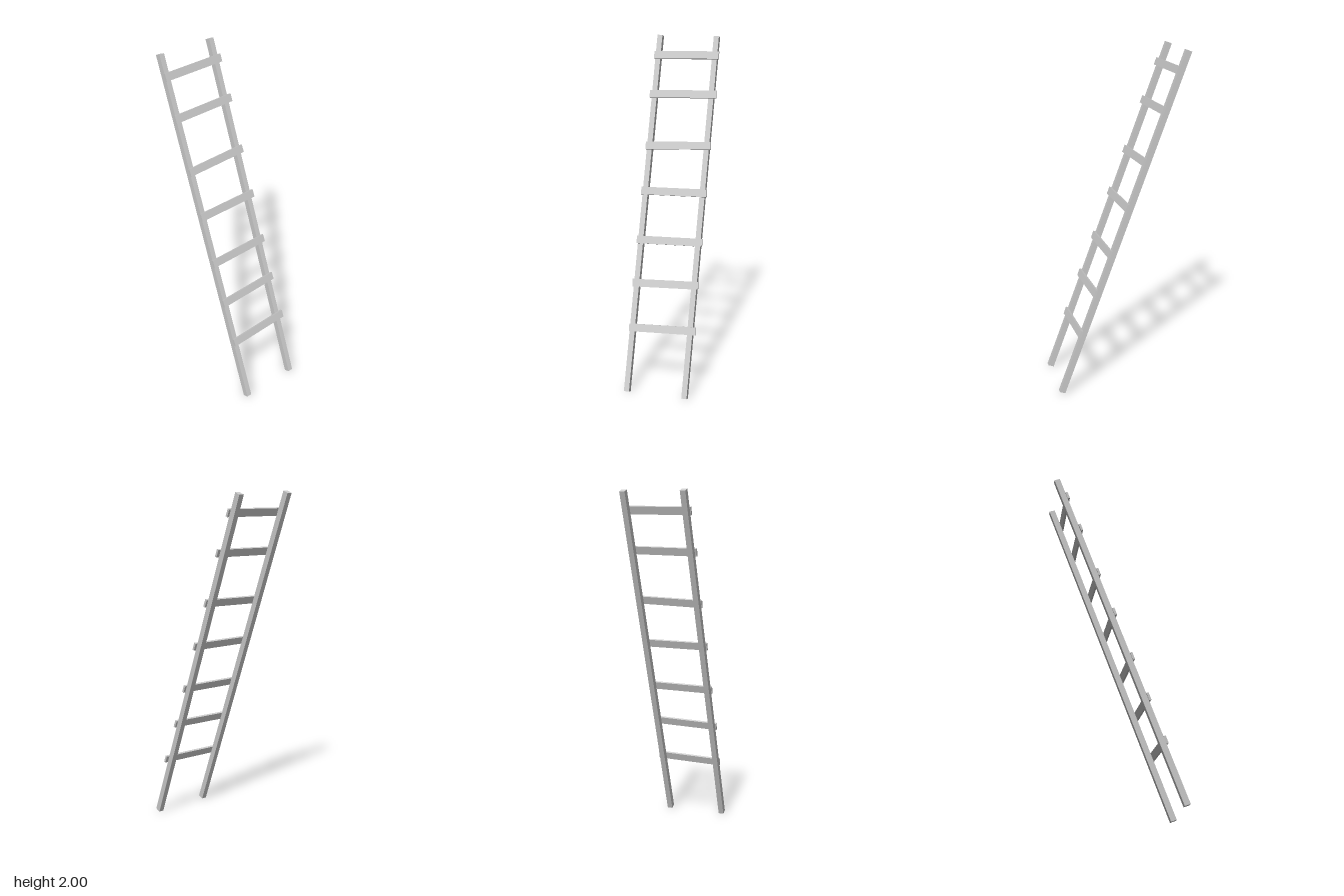
import * as THREE from 'three';

const LEAN = 0.358;      // lean angle away from vertical
const RAIL_LENGTH = 2.122;
const RAIL_DEPTH = 0.035;
const RAIL_WIDTH = 0.031;
const RUNG_HEIGHT = 0.045;
const RUNG_THICKNESS = 0.0135;

// Slightly uneven rungs: position along the rails, tilt, length, z offset
const RUNGS = [
  [0.939, 0.022, 0.394, 0.001],
  [0.704, 0.029, 0.404, 0.0],
  [0.396, 0.044, 0.394, -0.001],
  [0.121, 0.022, 0.396, -0.002],
  [-0.168, 0.029, 0.394, -0.003],
  [-0.42, 0.044, 0.394, -0.003],
  [-0.681, 0.044, 0.396, -0.01],
];

export function createModel() {
  const material = new THREE.MeshStandardMaterial({ color: 0xcccccc, flatShading: true });
  const ladder = new THREE.Group();
  ladder.name = 'ladder';

  function plank(name, size, position, tilt) {
    const mesh = new THREE.Mesh(new THREE.BoxGeometry(...size), material);
    mesh.name = name;
    mesh.position.set(...position);
    mesh.rotation.x = tilt;
    ladder.add(mesh);
  }

  // Two long rails, a touch out of true
  const railSize = [RAIL_DEPTH, RAIL_LENGTH, RAIL_WIDTH];
  plank('frontRail', railSize, [0.0005, 0, 0.174], 0.0037);
  plank('backRail', railSize, [-0.0005, 0, -0.172], 0.0035);

  // Flat rungs fixed to the upper face of the rails
  const rungX = RAIL_DEPTH / 2 + RUNG_THICKNESS / 2;
  RUNGS.forEach(([along, tilt, length, z], i) =>
    plank(`rung${i + 1}`, [RUNG_THICKNESS, RUNG_HEIGHT, length], [rungX, along, z], tilt));

  // Lean the whole ladder with its top towards -x
  ladder.rotation.z = LEAN;
  ladder.position.y = 1;

  const model = new THREE.Group();
  model.name = 'leaningLadder';
  model.add(ladder);
  return model;
}
